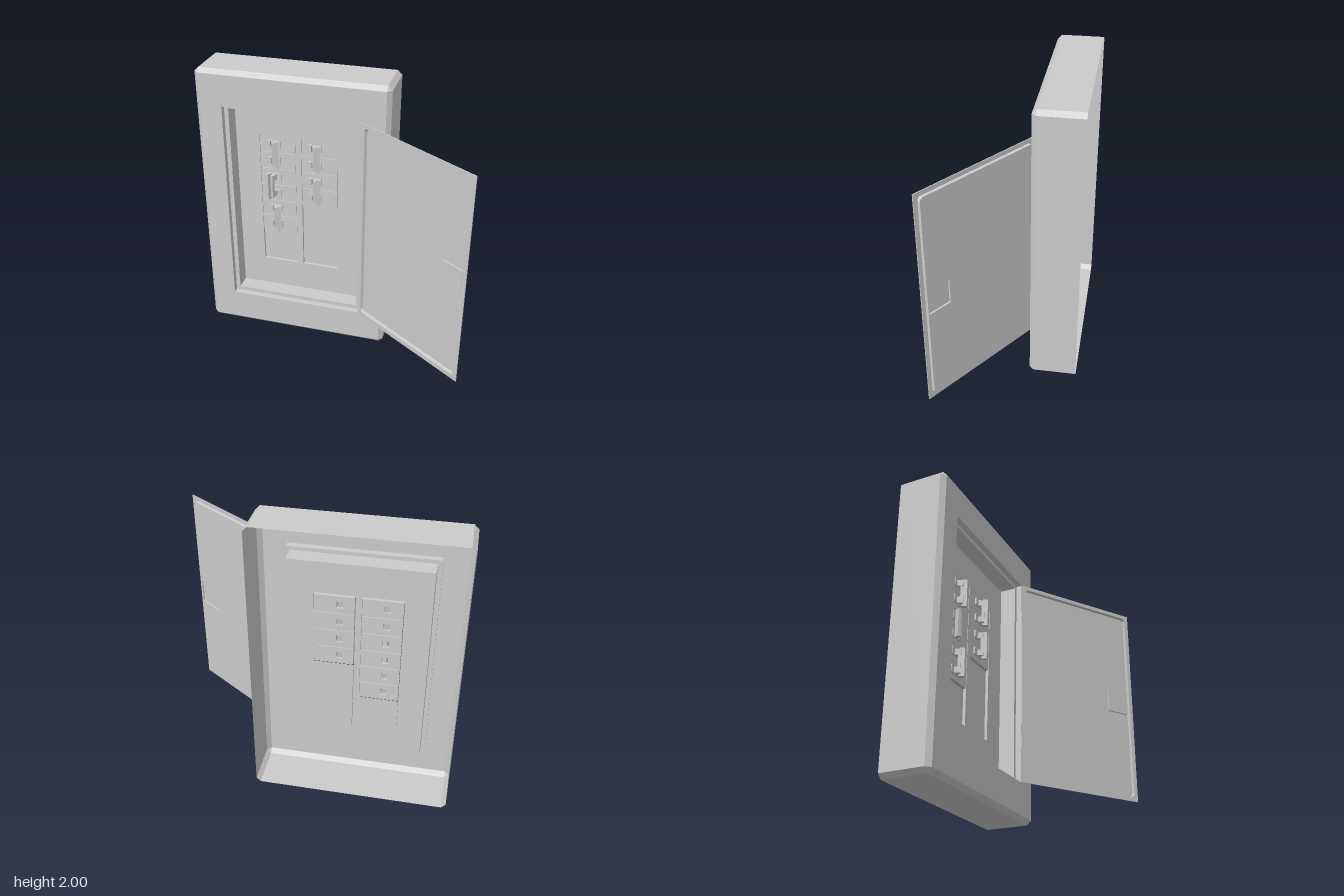
import * as THREE from 'three';

const mat = new THREE.MeshStandardMaterial({ color: 0xcccccc, flatShading: true, side: THREE.DoubleSide });

function add(parent, name, geometry, x = 0, y = 0, z = 0) {
  const mesh = new THREE.Mesh(geometry, mat);
  mesh.name = name;
  mesh.position.set(x, y, z);
  parent.add(mesh);
  return mesh;
}

// Counter-clockwise rectangle, optionally with chamfered corners
function rect(x0, y0, x1, y1, c = null) {
  const p = c === null
    ? [[x0, y0], [x1, y0], [x1, y1], [x0, y1]]
    : [[x0 + c, y0], [x1 - c, y0], [x1, y0 + c], [x1, y1 - c],
      [x1 - c, y1], [x0 + c, y1], [x0, y1 - c], [x0, y0 + c]];
  return p.map(([x, y]) => new THREE.Vector2(x, y));
}

// Counter-clockwise rectangle with rounded corners
function roundRect(x0, y0, x1, y1, r, n = 4) {
  const corners = [[x1 - r, y0 + r, -1], [x1 - r, y1 - r, 0], [x0 + r, y1 - r, 1], [x0 + r, y0 + r, 2]];
  return corners.flatMap(([cx, cy, q]) => Array.from({ length: n + 1 }, (_, i) => {
    const a = (q + i / n) * Math.PI / 2;
    return new THREE.Vector2(cx + r * Math.cos(a), cy + r * Math.sin(a));
  }));
}

function shapeOf(outline, holes = []) {
  const s = new THREE.Shape(outline);
  s.holes = holes.map(h => new THREE.Path(h));
  return s;
}

const plate = (outline, holes) => new THREE.ShapeGeometry(shapeOf(outline, holes));
const slab = (outline, holes, depth) =>
  new THREE.ExtrudeGeometry(shapeOf(outline, holes), { depth, bevelEnabled: false });

// Skin joining closed rings [outline, z] that share a point count
function loft(rings) {
  const pos = [];
  const put = (p, z) => pos.push(p.x, p.y, z);
  for (let k = 0; k + 1 < rings.length; k++) {
    const [a, za] = rings[k], [b, zb] = rings[k + 1];
    for (let i = 0; i < a.length; i++) {
      const j = (i + 1) % a.length;
      put(a[i], za); put(a[j], za); put(b[j], zb);
      put(a[i], za); put(b[j], zb); put(b[i], zb);
    }
  }
  const g = new THREE.BufferGeometry();
  g.setAttribute('position', new THREE.Float32BufferAttribute(pos, 3));
  g.computeVertexNormals();
  return g;
}

const FRONT = -0.115, BACK = -0.44, LEDGE = -0.157, PANEL = -0.27, STRIP = -0.29;
const ROW = 0.126, STRIP_TOP = 1.51, STRIP_BOTTOM = 0.5;

function makeCabinet(group) {
  const c = 0.03;
  const outer = rect(-0.975, 0, 0.355, 2, c);
  const inset = rect(-0.975 + c, c, 0.355 - c, 2 - c, 0);
  add(group, 'cabinetShell', loft([[outer, BACK], [outer, FRONT - c], [inset, FRONT]]));

  // Front cover with its stepped recess
  const opening = rect(-0.79, 0.25, 0.17, 1.75), well = rect(-0.76, 0.28, 0.145, 1.725);
  add(group, 'frontCover', plate(rect(-0.945, c, 0.325, 2 - c), [opening]), 0, 0, FRONT);
  add(group, 'recessWalls', loft([[opening, FRONT], [opening, LEDGE], [well, LEDGE], [well, PANEL]]));

  // Inner panel with two shallow breaker channels
  const columns = [
    { x: -0.59, slot: -0.49, rows: 6, sides: [1, -1, 1] },
    { x: -0.29, slot: -0.195, rows: 4, sides: [1, 1] },
  ];
  const channels = columns.map(col => rect(col.x, STRIP_BOTTOM, col.x + 0.258, STRIP_TOP));
  add(group, 'innerPanel', plate(well, channels), 0, 0, PANEL);
  columns.forEach((col, i) => {
    add(group, 'channelWalls', loft([[channels[i], PANEL], [channels[i], STRIP]]));
    const filled = STRIP_TOP - col.rows * ROW;
    add(group, 'blankPlate', plate(rect(col.x, STRIP_BOTTOM, col.x + 0.258, filled)), 0, 0, STRIP);
    for (let r = 0; r < col.rows; r++) makeBreaker(group, col, STRIP_TOP - (r + 0.5) * ROW);
    col.sides.forEach((side, p) => makeSwitch(group, col.slot, STRIP_TOP - (2 * p + 1) * ROW, side));
  });
}

// Breaker face with an open slot and a raised collar around it
function makeBreaker(group, col, y) {
  const hole = rect(col.slot - 0.02, y - 0.024, col.slot + 0.02, y + 0.024);
  const body = rect(col.x + 0.002, y - ROW / 2 + 0.002, col.x + 0.256, y + ROW / 2 - 0.002);
  add(group, 'breakerFace', slab(body, [hole], 0.018), 0, 0, STRIP);
  const collar = roundRect(col.slot - 0.05, y - 0.028, col.slot + 0.05, y + 0.028, 0.008, 3);
  add(group, 'switchCollar', slab(collar, [hole], 0.012), 0, 0, STRIP + 0.018);
}

// Double-pole switch: two levers, a web and a tie bar, thrown to one side
function makeSwitch(parent, x, y, side) {
  const group = new THREE.Group();
  group.name = 'doubleSwitch';
  group.position.set(x, y, STRIP + 0.02);
  group.rotation.y = side * 0.45;
  for (const s of [-1, 1]) add(group, 'lever', new THREE.BoxGeometry(0.032, 0.042, 0.05), 0, s * ROW / 2, 0.015);
  add(group, 'web', new THREE.BoxGeometry(0.03, 0.12, 0.02), 0, 0, 0.03);
  add(group, 'tieBar', new THREE.BoxGeometry(0.024, 0.2, 0.034), side * 0.016, 0, 0.046);
  parent.add(group);
}

// Door standing open, its pressed centre bulging towards the outside
function makeDoor(parent) {
  const door = new THREE.Group();
  door.name = 'door';
  door.position.set(0.17, 0, FRONT + 0.002);
  door.rotation.y = -Math.atan2(0.544, 0.798);
  const lip = roundRect(0.032, 0.284, 0.935, 1.722, 0.025);
  const pan = roundRect(0.036, 0.288, 0.931, 1.718, 0.025);
  const latch = roundRect(0.755, 0.917, 0.925, 1.088, 0.008);
  add(door, 'doorFlange', slab(rect(0, 0.25, 0.964, 1.75), [lip], 0.006));
  add(door, 'doorPanWalls', loft([[lip, 0.006], [pan, -0.016]]));
  add(door, 'doorPan', plate(pan, [latch]), 0, 0, -0.016);
  add(door, 'latchWalls', loft([[latch, -0.016], [latch, -0.004]]));
  add(door, 'latchPlate', plate(latch), 0, 0, -0.004);
  parent.add(door);

  for (const y of [0.535, 1.475]) {
    add(parent, 'hingeKnuckle', new THREE.CylinderGeometry(0.007, 0.007, 0.11, 10), 0.17, y, FRONT + 0.003);
  }
}

export function createModel() {
  const model = new THREE.Group();
  model.name = 'breakerPanel';
  makeCabinet(model);
  makeDoor(model);
  return model;
}
